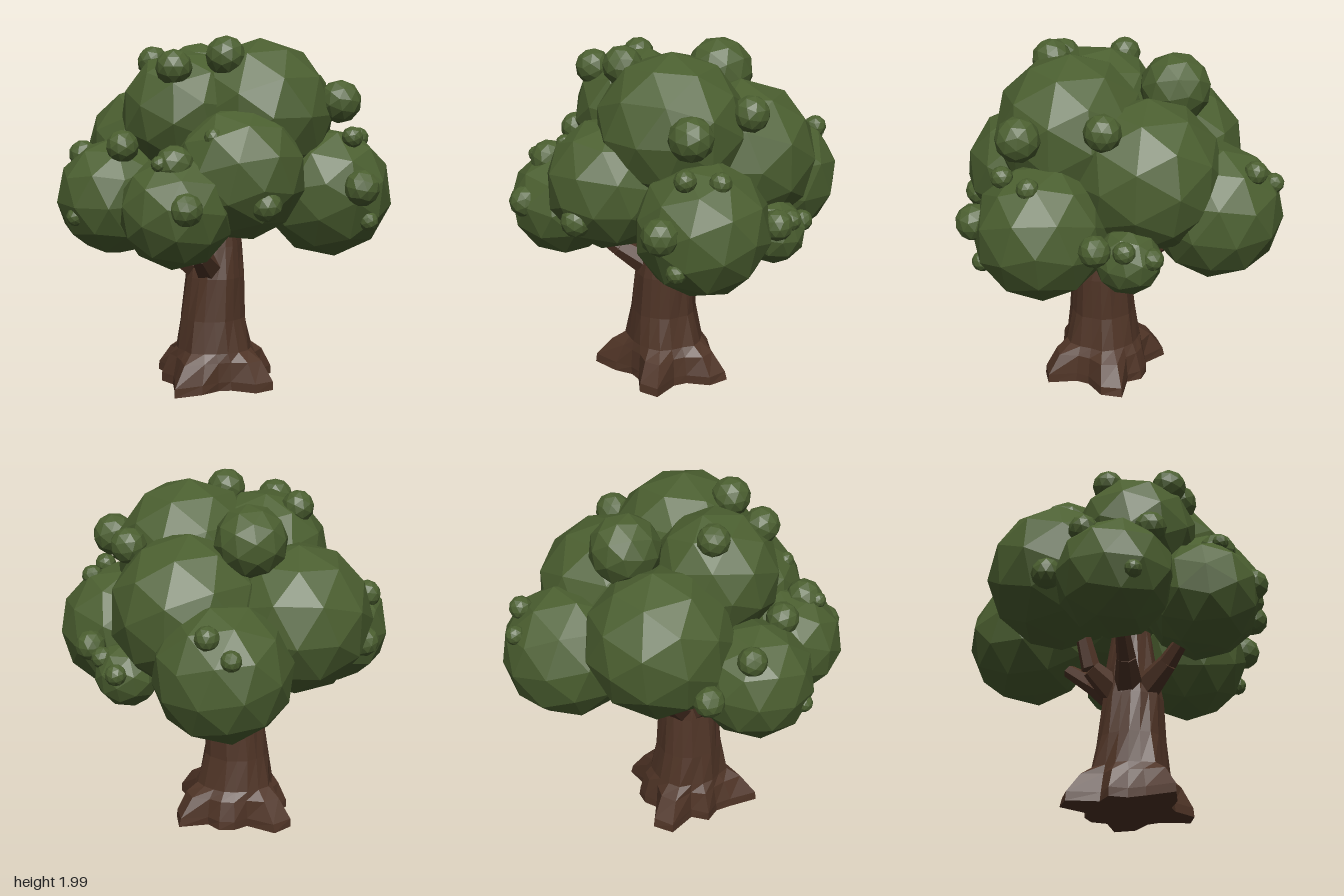
import * as THREE from 'three';

const leafMat = new THREE.MeshStandardMaterial({ color: 0x4b5f30, flatShading: true });
const barkMat = new THREE.MeshStandardMaterial({ color: 0x4f3426, flatShading: true });

// Clumps that a branch reaches into
const lowClumps = [
  [-0.46, 1.32, 0.09, 0.41], [-0.52, 1.15, -0.45, 0.372],
  [0.26, 1.085, 0.5, 0.308], [-0.245, 1.115, 0.54, 0.325],
];

// Remaining foliage clumps: x, y, z, radius
const highClumps = [
  [0.2, 1.57, -0.135, 0.415], [-0.05, 1.57, 0.2, 0.355], [-0.14, 1.37, -0.4, 0.42],
  [0.355, 1.27, 0.15, 0.362], [-0.38, 1.76, -0.16, 0.195], [0.04, 1.02, -0.67, 0.18],
  [0.44, 1.13, -0.43, 0.365],
];

// Small tufts sitting on the clumps
const tufts = [
  [0.23, 1.89, 0.14, 0.11], [-0.23, 1.85, 0.28, 0.09], [0.1, 1.83, 0.39, 0.1],
  [0.15, 1.69, -0.57, 0.1], [0.55, 1.64, -0.41, 0.12], [0.25, 1.14, -0.77, 0.085],
  [0.54, 1.43, -0.57, 0.06], [0.78, 1.19, -0.35, 0.1], [0.64, 1.45, -0.42, 0.06],
  [0.76, 1.0, -0.43, 0.055], [0.64, 1.13, 0.21, 0.085], [0.43, 1.48, 0.39, 0.05],
  [0.32, 1.34, 0.56, 0.105], [0.31, 1.35, 0.65, 0.045], [0.49, 1.13, 0.62, 0.09],
  [-0.44, 1.34, 0.62, 0.08], [-0.07, 1.41, 0.61, 0.09], [-0.79, 1.33, -0.6, 0.055],
  [-0.66, 1.42, -0.65, 0.065], [-0.6, 1.14, 0.46, 0.085], [-0.22, 1.03, 0.82, 0.05],
  [-0.05, 1.07, -0.8, 0.06], [0.1, 1.12, -0.79, 0.06],
];

function leafBall([x, y, z, r], i, name) {
  const mesh = new THREE.Mesh(new THREE.IcosahedronGeometry(r, 1), leafMat);
  mesh.position.set(x, y, z);
  mesh.rotation.set(i * 1.7, i * 2.3, i * 0.9);
  mesh.name = name;
  return mesh;
}

// Root directions: angle from +x towards +z, extra reach at the ground
const roots = [
  [Math.PI - 0.18, 0.22], [1.25, 0.21], [-0.2, 0.18], [-1.45, 0.19], [2.15, 0.09], [-2.3, 0.07],
];

// Trunk rings: y, radius, root strength, centre x, centre z
const rings = [
  [0.01, 0, 0, -0.02, 0], [0.01, 0.225, 1, -0.02, 0], [0.06, 0.225, 0.95, -0.02, 0],
  [0.17, 0.22, 0.5, -0.02, 0], [0.22, 0.21, 0.12, -0.025, 0.01], [0.4, 0.185, 0.03, -0.025, 0.02],
  [0.64, 0.168, 0, -0.015, 0.01], [0.82, 0.145, 0, -0.02, 0], [1.05, 0.11, 0, -0.02, 0],
  [1.05, 0, 0, -0.02, 0],
];

function trunkGeometry() {
  const n = 20, pos = [], idx = [];
  rings.forEach(([y, r, k, cx, cz], j) => {
    for (let i = 0; i < n; i++) {
      const a = (i / n) * Math.PI * 2;
      let reach = 0;
      for (const [ra, len] of roots) {
        const d = Math.atan2(Math.sin(a - ra), Math.cos(a - ra));
        reach = Math.max(reach, len * Math.exp(-((d / 0.32) ** 2)));
      }
      const rr = r === 0 ? 0 : r + k * reach + 0.006 * Math.sin(i * 2.6 + j);
      pos.push(cx + Math.cos(a) * rr, y, cz + Math.sin(a) * rr);
      if (j < rings.length - 1) {
        const p = j * n + i, q = j * n + ((i + 1) % n);
        idx.push(p, p + n, q, q, p + n, q + n);
      }
    }
  });
  const g = new THREE.BufferGeometry();
  g.setAttribute('position', new THREE.Float32BufferAttribute(pos, 3));
  g.setIndex(idx);
  g.computeVertexNormals();
  return g;
}

// Tapered limb between two points
function limb(a, b, r0, r1) {
  const dir = b.clone().sub(a);
  const mesh = new THREE.Mesh(new THREE.CylinderGeometry(r1, r0, dir.length(), 6), barkMat);
  mesh.position.copy(a).addScaledVector(dir, 0.5);
  mesh.quaternion.setFromUnitVectors(new THREE.Vector3(0, 1, 0), dir.normalize());
  mesh.name = 'branch';
  return mesh;
}

export function createModel() {
  const tree = new THREE.Group();
  tree.name = 'tree';

  const trunk = new THREE.Mesh(trunkGeometry(), barkMat);
  trunk.name = 'trunk';
  tree.add(trunk);

  // Branches rise from the trunk, bend, and end inside the lower clumps
  const branches = new THREE.Group();
  branches.name = 'branches';
  for (const [x, y, z] of lowClumps) {
    const len = Math.hypot(x, z), dx = x / len, dz = z / len;
    const start = new THREE.Vector3(dx * 0.08 - 0.02, 0.67, dz * 0.08);
    const bend = new THREE.Vector3(dx * 0.27, 0.8, dz * 0.27);
    const end = new THREE.Vector3(x * 0.8, y - 0.14, z * 0.8);
    branches.add(limb(start, bend, 0.09, 0.055), limb(bend, end, 0.055, 0.03));
  }
  tree.add(branches);

  const foliage = new THREE.Group();
  foliage.name = 'foliage';
  [...highClumps, ...lowClumps].forEach((c, i) => foliage.add(leafBall(c, i, 'leafClump')));
  tufts.forEach((c, i) => foliage.add(leafBall(c, i + 5, 'leafTuft')));
  tree.add(foliage);

  return tree;
}
